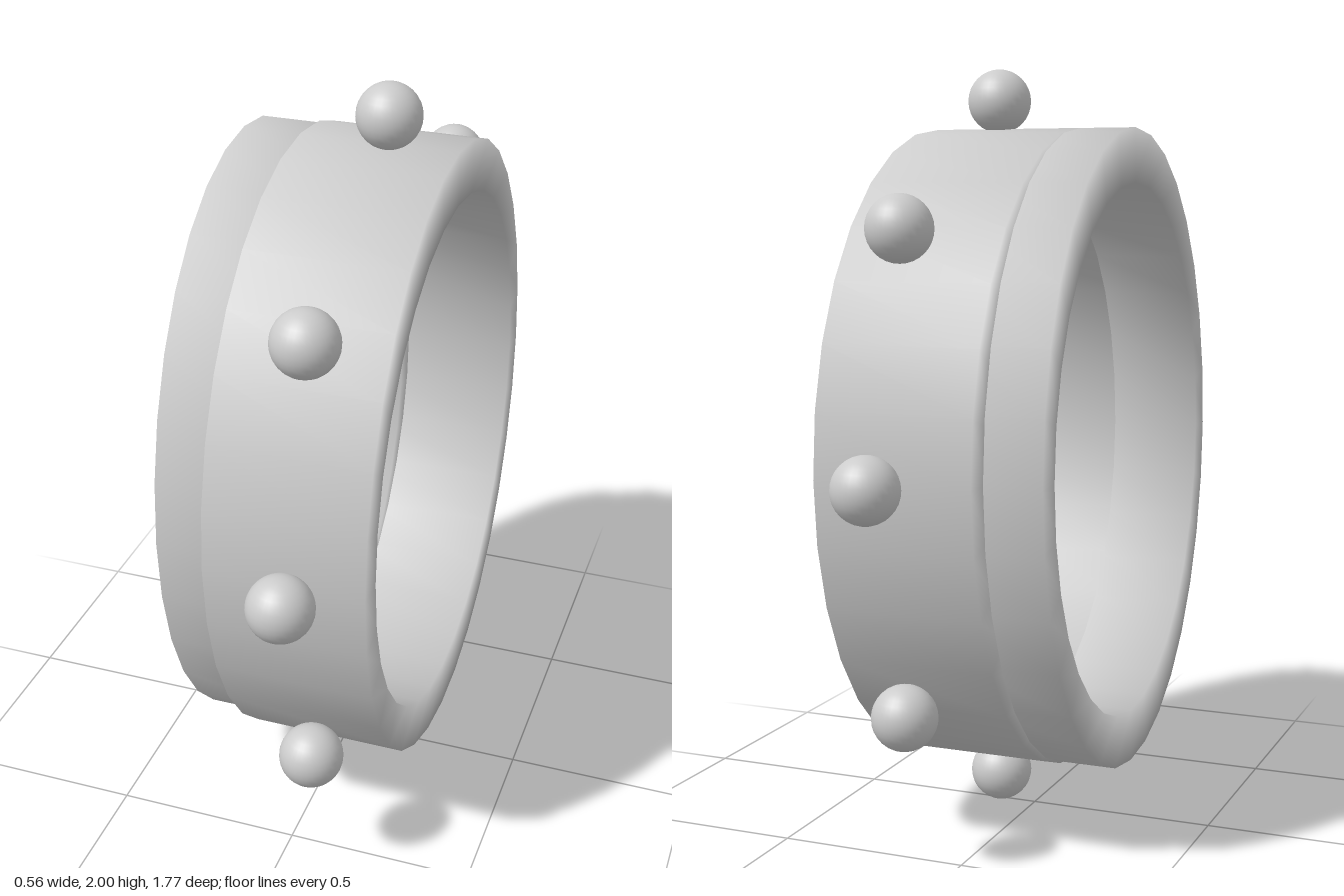
import * as THREE from 'three';

const CENTRE_Y = 1;

// Elliptical band with a rectangular section and softened (shared) normals
function bandGeometry(x0, x1, outerZ, innerZ, outerY = 0.845, innerY = 0.705, segments = 32) {
  const section = [
    [x0, outerY, outerZ], [x1, outerY, outerZ],
    [x1, innerY, innerZ], [x0, innerY, innerZ],
  ];
  const n = section.length;
  const positions = [], indices = [];
  for (let i = 0; i < segments; i++) {
    const t = (i / segments) * Math.PI * 2;
    for (const [x, ry, rz] of section) positions.push(x, ry * Math.cos(t), rz * Math.sin(t));
    const next = (i + 1) % segments;
    for (let j = 0; j < n; j++) {
      const k = (j + 1) % n;
      const a = i * n + j, b = next * n + j, c = next * n + k, d = i * n + k;
      indices.push(a, b, c, a, c, d);
    }
  }
  const geometry = new THREE.BufferGeometry();
  geometry.setAttribute('position', new THREE.Float32BufferAttribute(positions, 3));
  geometry.setIndex(indices);
  geometry.computeVertexNormals();
  return geometry;
}

export function createModel() {
  const model = new THREE.Group();
  model.name = 'studdedRing';
  const material = new THREE.MeshStandardMaterial({ color: 0xcccccc });

  const add = (name, geometry, x, y, z) => {
    const mesh = new THREE.Mesh(geometry, material);
    mesh.name = name;
    mesh.position.set(x, y, z);
    model.add(mesh);
  };

  // Wide band, and a narrower one slid partly inside it
  add('wideBand', bandGeometry(-0.13, 0.28, 0.72, 0.64), 0, CENTRE_Y, 0);
  add('narrowBand', bandGeometry(-0.28, -0.03, 0.65, 0.575), 0, CENTRE_Y, 0);

  // Eight balls around the wide band
  const ball = new THREE.SphereGeometry(0.083, 32, 16);
  for (let i = 0; i < 8; i++) {
    const t = (i / 8) * Math.PI * 2;
    const diagonal = i % 2 === 1;
    const ry = diagonal ? 0.842 : 0.917;
    const rz = diagonal ? 0.86 : 0.8;
    add(`ball${i + 1}`, ball, 0.1, CENTRE_Y + ry * Math.cos(t), rz * Math.sin(t));
  }
  return model;
}
